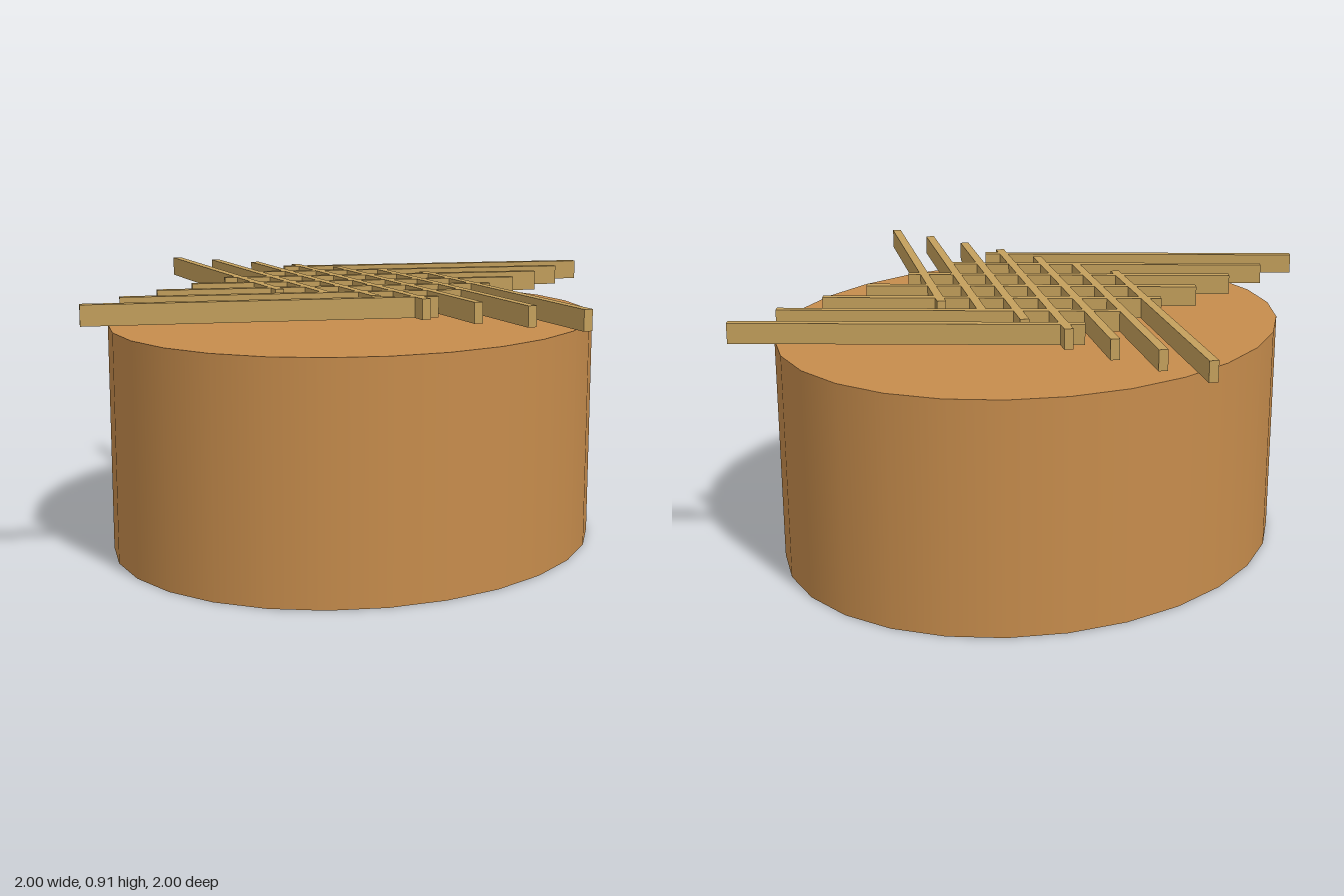
import * as THREE from 'three';

export function createModel() {
  const model = new THREE.Group();
  model.name = 'latticePie';

  const crust = new THREE.MeshStandardMaterial({ color: 0xc68c4c });
  crust.name = 'crust brown';
  const pastry = new THREE.MeshStandardMaterial({ color: 0xc4a05c });
  pastry.name = 'pastry tan';

  // Oval pie body
  const height = 0.785;
  const body = new THREE.Mesh(new THREE.CylinderGeometry(1, 1, height, 28), crust);
  body.name = 'pieBody';
  body.scale.set(0.815, 1, 0.947);
  body.position.y = height / 2;
  model.add(body);

  // Two crossing sets of seven strips, floating just above the body
  const angle = THREE.MathUtils.degToRad(38.6);
  const strip = new THREE.BoxGeometry(1.146, 0.068, 0.03);
  const lattice = new THREE.Group();
  lattice.name = 'latticeTop';
  lattice.position.y = 0.877;

  const addStrip = (name, x, z, turn) => {
    const mesh = new THREE.Mesh(strip, pastry);
    mesh.name = name;
    mesh.position.set(x, 0, z);
    mesh.rotation.y = turn;
    lattice.add(mesh);
  };
  for (let i = -3; i <= 3; i++) {
    addStrip('forwardStrip', i * 0.1813, 0, -angle);
    addStrip('backwardStrip', 0, i * 0.2105, angle);
  }
  model.add(lattice);

  return model;
}
